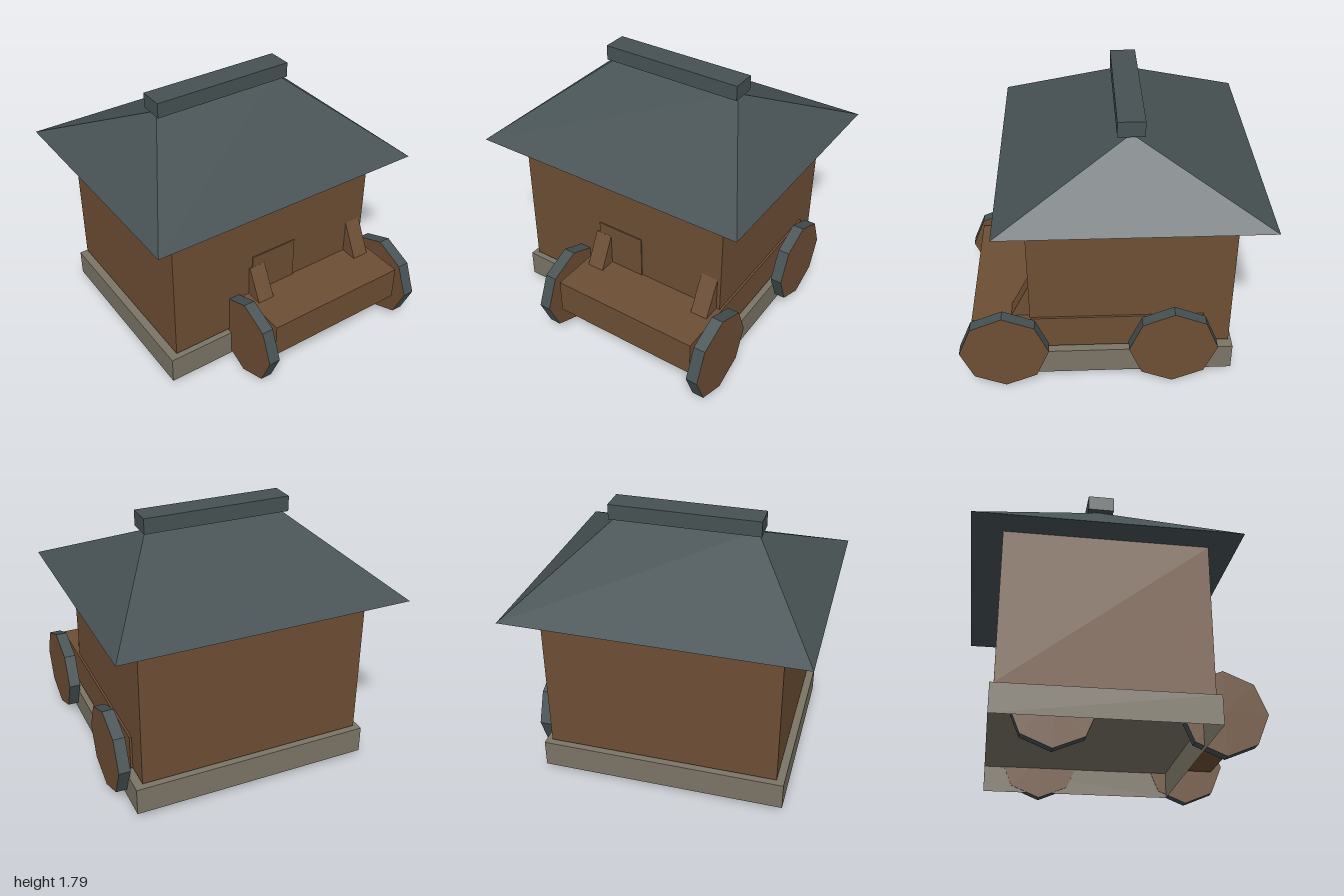
import * as THREE from 'three';

const brown = new THREE.MeshStandardMaterial({ color: 0x6d4e34 });
brown.name = 'brown wood';
const slate = new THREE.MeshStandardMaterial({ color: 0x465153 });
slate.name = 'dark slate';
const stone = new THREE.MeshStandardMaterial({ color: 0x7a7465, side: THREE.DoubleSide });
stone.name = 'grey stone';

// Box given by its lower and upper limits on each axis
function box(name, material, [x0, x1], [y0, y1], [z0, z1]) {
  const mesh = new THREE.Mesh(new THREE.BoxGeometry(x1 - x0, y1 - y0, z1 - z0), material);
  mesh.position.set((x0 + x1) / 2, (y0 + y1) / 2, (z0 + z1) / 2);
  mesh.name = name;
  return mesh;
}

// Hipped roof: a box whose top is squeezed to a ridge line
function hippedRoof() {
  const halfX = 0.98, halfZ = 0.86, ridgeX = 0.47;
  const geo = new THREE.BoxGeometry(2 * halfX, 0.41, 2 * halfZ).toNonIndexed();
  const pos = geo.attributes.position;
  for (let i = 0; i < pos.count; i++) {
    if (pos.getY(i) > 0) {
      pos.setX(i, Math.sign(pos.getX(i)) * ridgeX);
      pos.setZ(i, 0);
    }
  }
  geo.computeVertexNormals();
  const mesh = new THREE.Mesh(geo, slate);
  mesh.position.set(0, 1.485, -0.14);
  mesh.name = 'roof';
  return mesh;
}

export function createModel() {
  const model = new THREE.Group();
  model.name = 'hutWithCart';

  // Foundation, open underneath
  const foundation = box('foundation', stone, [-0.835, 0.835], [0.04, 0.23], [-0.825, 0.555]);
  const index = Array.from(foundation.geometry.index.array);
  index.splice(18, 6); // drop the bottom face
  foundation.geometry.setIndex(index);
  foundation.geometry.clearGroups();
  model.add(foundation);

  // House
  model.add(
    box('walls', brown, [-0.785, 0.785], [0.25, 1.28], [-0.8, 0.53]),
    box('door', brown, [-0.175, 0.17], [0.25, 0.8], [0.53, 0.538]),
    hippedRoof(),
    box('ridgeCap', slate, [-0.51, 0.51], [1.69, 1.795], [-0.225, -0.05])
  );

  // Cart bed
  model.add(box('cartBed', brown, [-0.245, 0.8], [0.25, 0.495], [-0.62, 0.91]));

  // Cart handles, leaning back against the wall
  for (const [x, y, z, length] of [[-0.14, 0.496, 0.584, 0.44], [0.7, 0.573, 0.546, 0.46]]) {
    const handle = new THREE.Mesh(new THREE.BoxGeometry(0.12, length, 0.12), brown);
    handle.position.set(x, y, z);
    handle.rotation.x = -0.464;
    handle.name = 'cartHandle';
    model.add(handle);
  }

  // Eight-sided wheels with slate rims and wooden faces
  const wheelGeo = new THREE.CylinderGeometry(0.295, 0.295, 0.08, 8).toNonIndexed();
  wheelGeo.computeVertexNormals();
  wheelGeo.rotateZ(Math.PI / 2);
  for (const x of [-0.32, 0.87]) {
    for (const z of [0.705, -0.415]) {
      const wheel = new THREE.Mesh(wheelGeo, [slate, brown, brown]);
      wheel.position.set(x, 0.3, z);
      wheel.name = z > 0 ? 'frontWheel' : 'rearWheel';
      model.add(wheel);
    }
  }

  return model;
}
